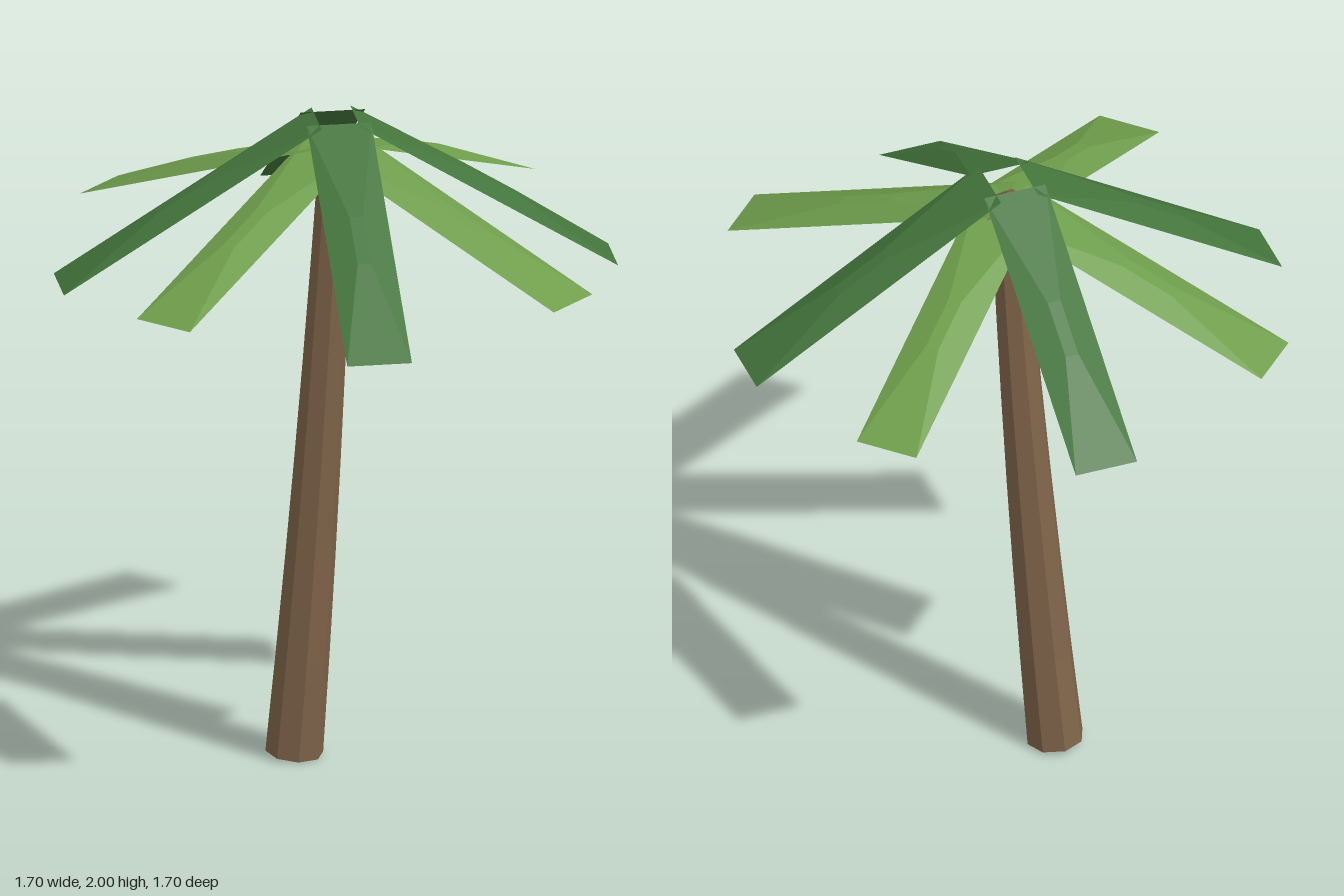
import * as THREE from 'three';
import { ConvexGeometry } from 'three/addons/geometries/ConvexGeometry.js';

const paint = (color) => new THREE.MeshStandardMaterial({ color, flatShading: true });

// Eight-sided tapering trunk, bent along a gentle curve
function makeTrunk(material) {
  const height = 1.85;
  const geometry = new THREE.CylinderGeometry(0.052, 0.085, height, 8, 6);
  const pos = geometry.attributes.position;
  for (let i = 0; i < pos.count; i++) {
    const x = pos.getX(i);
    const y = pos.getY(i) + height / 2;
    const lean = 0.1 - 0.021 * y;
    pos.setXY(i, x - 0.15 + 0.1 * y - 0.0105 * y * y, y + 0.008 - x * lean);
  }
  geometry.computeVertexNormals();
  const trunk = new THREE.Mesh(geometry, material);
  trunk.name = 'trunk';
  return trunk;
}

// Twenty-sided knob with one point up, covering the top of the trunk
function makeKnob(material) {
  const r = 0.115;
  const points = [new THREE.Vector3(0, r, 0), new THREE.Vector3(0, -r, 0)];
  for (let i = 0; i < 5; i++) {
    const a = (i * Math.PI * 2) / 5;
    const x = r * 0.894 * Math.cos(a);
    const z = r * 0.894 * Math.sin(a);
    points.push(new THREE.Vector3(x, r * 0.447, z), new THREE.Vector3(-x, -r * 0.447, -z));
  }
  const knob = new THREE.Mesh(new ConvexGeometry(points), material);
  knob.name = 'crownKnob';
  knob.position.y = 1.842;
  return knob;
}

// Frond: flat underside, top raised to a narrow ridge, sharp at both ends
function makeFrondGeometry() {
  const length = 0.892;
  const points = [];
  for (const side of [-1, 1]) {
    points.push(
      new THREE.Vector3(0, 0, side * 0.095),
      new THREE.Vector3(length * 0.41, 0.027, side * 0.02),
      new THREE.Vector3(length * 0.605, 0.027, side * 0.02),
      new THREE.Vector3(length, 0, side * 0.095)
    );
  }
  return new ConvexGeometry(points);
}

// Ring of four fronds starting at a given radius and height, drooping by pitch
function makeFrondRing(name, geometry, material, { turn, radius, height, pitch }) {
  const ring = new THREE.Group();
  ring.name = name;
  for (let i = 0; i < 4; i++) {
    const a = turn + (i * Math.PI) / 2;
    const frond = new THREE.Mesh(geometry, material);
    frond.name = 'frond';
    frond.position.set(radius * Math.cos(a), height, -radius * Math.sin(a));
    frond.rotation.set(0, a, -pitch, 'YZX');
    ring.add(frond);
  }
  return ring;
}

export function createModel() {
  const model = new THREE.Group();
  model.name = 'palmTree';

  const bark = paint(0x80644a);
  model.add(makeTrunk(bark), makeKnob(bark));

  const frond = makeFrondGeometry();
  model.add(
    makeFrondRing('lowerFronds', frond, paint(0x6f9e4c), {
      turn: 0, radius: 0.017, height: 1.922, pitch: 0.359,
    }),
    makeFrondRing('upperFronds', frond, paint(0x44753c), {
      turn: Math.PI / 4, radius: 0.057, height: 2.0, pitch: 0.555,
    })
  );
  return model;
}
